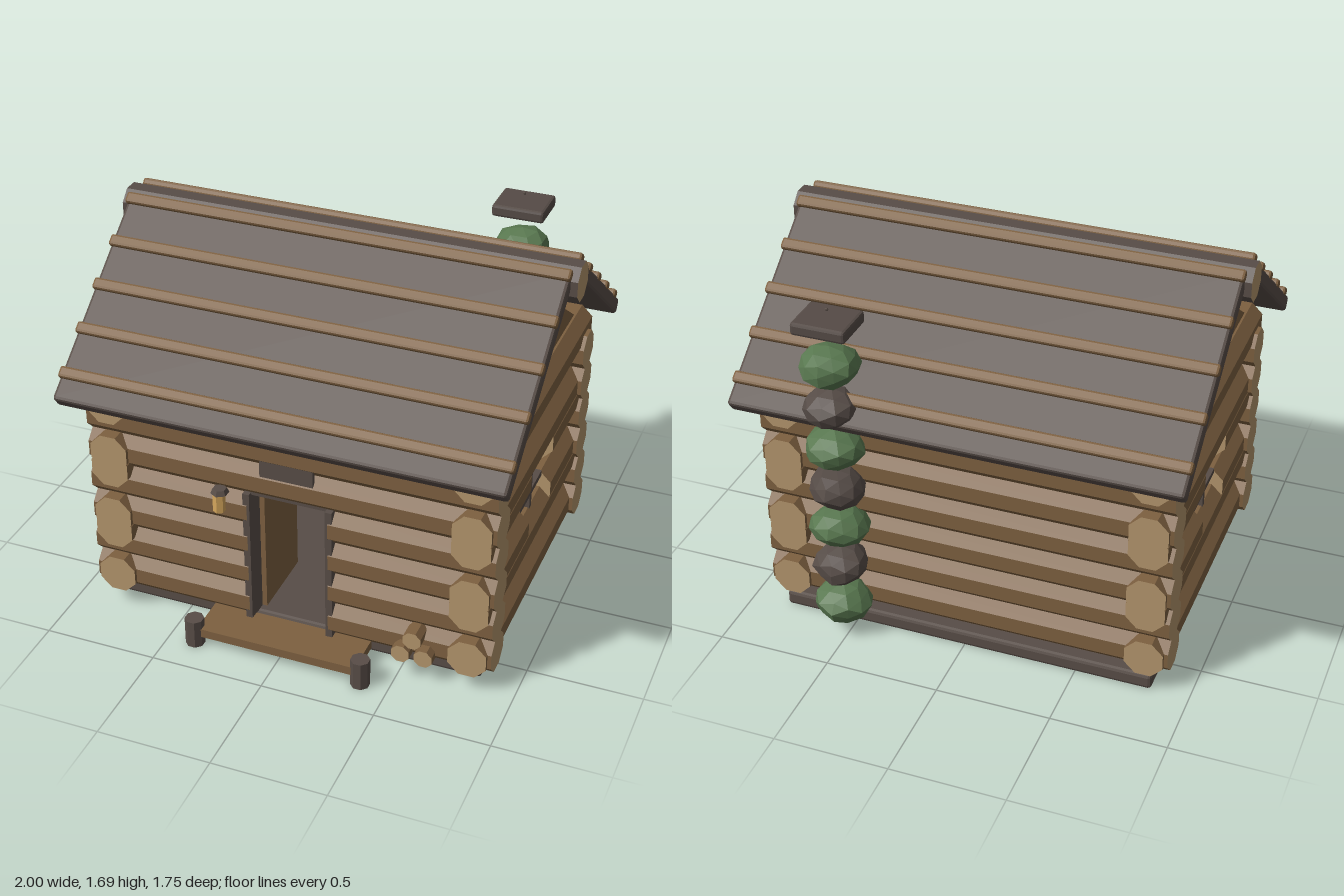
import * as THREE from 'three';
import { RoundedBoxGeometry } from 'three/addons/geometries/RoundedBoxGeometry.js';

const paint = (name, color) => {
  const m = new THREE.MeshStandardMaterial({ color });
  m.name = name;
  return m;
};

const Z0 = 0.01; // depth centre of the walls and roof
const ROW = (i) => 0.165 + 0.156 * i;

function facet(geo) {
  const g = geo.index ? geo.toNonIndexed() : geo;
  g.computeVertexNormals();
  return g;
}

// Small repeatable noise
function seeded(seed) {
  let s = seed;
  return () => (s = (s * 16807) % 2147483647) / 2147483647;
}

export function createModel() {
  const wood = paint('brown wood', 0x7d6040);
  const cut = paint('cut log end', 0xb3956c);
  const dark = paint('dark weathered board', 0x584d47);
  const stone = paint('grey stone', 0x554b46);
  const moss = paint('mossy stone', 0x58774f);
  const glow = paint('lit glass', 0xd4a65c);

  const model = new THREE.Group();
  model.name = 'logCabin';
  const group = (name, parent = model) => {
    const g = new THREE.Group();
    g.name = name;
    parent.add(g);
    return g;
  };
  const add = (parent, name, geo, mat, x = 0, y = 0, z = 0) => {
    const m = new THREE.Mesh(geo, mat);
    m.name = name;
    m.position.set(x, y, z);
    parent.add(m);
    return m;
  };
  const box = (parent, name, mat, w, h, d, x, y, z, bevel = 0) =>
    add(parent, name, bevel ? facet(new RoundedBoxGeometry(w, h, d, 1, bevel)) : new THREE.BoxGeometry(w, h, d), mat, x, y, z);

  // Eight-sided log between two positions on one axis
  const log = (parent, name, axis, from, to, a, y, r = 0.09, bark = wood) => {
    const g = new THREE.CylinderGeometry(r, r, to - from, 8).rotateY(Math.PI / 8);
    if (axis === 'x') g.rotateZ(Math.PI / 2);
    if (axis === 'z') g.rotateX(Math.PI / 2);
    const mid = (from + to) / 2;
    return add(parent, name, facet(g), [bark, cut, cut], axis === 'x' ? mid : a, y, axis === 'x' ? a : mid);
  };

  // Floor slab
  box(model, 'foundation', dark, 1.67, 0.07, 1.31, 0, 0.035, -0.035, 0.015);

  // Log walls; the doorway and windows split the logs they cross
  const walls = group('walls');
  for (let i = 0; i < 6; i++) {
    const y = ROW(i);
    log(walls, 'backLog', 'x', -0.9, 0.9, Z0 - 0.61, y);
    if (i < 4) {
      log(walls, 'frontLogRight', 'x', -0.9, -0.18, Z0 + 0.61, y);
      log(walls, 'frontLogLeft', 'x', 0.18, 0.9, Z0 + 0.61, y);
    } else log(walls, 'frontLog', 'x', -0.9, 0.9, Z0 + 0.61, y);

    const sideY = y + (i % 2) * 0.078;
    for (const s of [-1, 1]) {
      if (i === 2 || i === 3) {
        log(walls, 'sideLogBack', 'z', Z0 - 0.71, Z0 - 0.16, s * 0.8, sideY);
        log(walls, 'sideLogFront', 'z', Z0 + 0.16, Z0 + 0.71, s * 0.8, sideY);
      } else log(walls, 'sideLog', 'z', Z0 - 0.71, Z0 + 0.71, s * 0.8, sideY);
    }
  }

  // Gables and windows on both sides
  const tri = new THREE.Shape([[-0.72, 1.03], [0.72, 1.03], [0, 1.52]].map((p) => new THREE.Vector2(...p)));
  const gableGeo = new THREE.ExtrudeGeometry(tri, { depth: 0.05, bevelEnabled: false })
    .translate(0, 0, -0.025).rotateY(Math.PI / 2);
  for (const s of [-1, 1]) {
    add(model, 'gable', gableGeo, wood, s * 0.8, 0, Z0);
    const win = group('window');
    box(win, 'windowGlass', glow, 0.01, 0.22, 0.29, s * 0.8, 0.59, Z0);
    box(win, 'windowUpright', dark, 0.04, 0.26, 0.027, s * 0.82, 0.59, Z0);
    box(win, 'windowCrossbar', dark, 0.04, 0.027, 0.32, s * 0.82, 0.555, Z0);
    box(win, 'windowHead', dark, 0.05, 0.02, 0.32, s * 0.82, 0.72, Z0);
  }

  // Two roof slopes with battens, and the ridge log
  const slope = 0.639;
  for (const turn of [0, Math.PI]) {
    const side = group('roofSide');
    side.position.set(0, 1.72, Z0);
    side.rotation.y = turn;
    const pitch = group('roofPitch', side);
    pitch.rotation.x = slope;
    box(pitch, 'roofPanel', dark, 1.94, 0.07, 0.97, 0, -0.035, 0.56, 0.014);
    for (let i = 0; i < 5; i++)
      box(pitch, 'roofBatten', wood, 1.95, 0.036, 0.05, 0, 0.004, 0.1 + i * 0.2065, 0.011);
  }
  log(model, 'ridgeLog', 'x', -1, 1, Z0, 1.603, 0.085, dark);

  // Doorway with the door swung inward
  const doorway = group('doorway');
  for (const s of [-1, 1]) box(doorway, 'doorPost', dark, 0.03, 0.64, 0.15, s * 0.183, 0.405, 0.625);
  box(doorway, 'door', wood, 0.022, 0.62, 0.34, -0.155, 0.4, 0.43);
  box(doorway, 'doorHead', dark, 0.39, 0.02, 0.1, 0, 0.722, 0.625);

  // Plain board over the door
  box(model, 'doorBoard', dark, 0.235, 0.17, 0.02, 0, 0.915, 0.69);

  // Lantern beside the door
  const lantern = group('lantern');
  add(lantern, 'lanternGlass', facet(new THREE.CylinderGeometry(0.027, 0.027, 0.085, 6)), glow, -0.297, 0.67, 0.715);
  add(lantern, 'lanternCap', facet(new THREE.CylinderGeometry(0.03, 0.04, 0.022, 6)), dark, -0.297, 0.722, 0.705);

  // Porch step between two short posts
  box(model, 'porchStep', wood, 0.72, 0.04, 0.195, 0, 0.07, 0.757);
  for (const s of [-1, 1])
    add(model, 'porchPost', facet(new THREE.CylinderGeometry(0.042, 0.042, 0.13, 8).rotateY(Math.PI / 8)), dark, s * 0.378, 0.065, 0.836);

  // Firewood stack and an inside stool
  for (const [x, y] of [[0.52, 0.135], [0.62, 0.135], [0.57, 0.215]])
    log(model, 'firewood', 'z', 0.55, 0.75, x, y, 0.042, wood);
  add(model, 'stool', facet(new THREE.CylinderGeometry(0.085, 0.085, 0.195, 8)), wood, 0.45, 0.167, -0.285);

  // Chimney of stacked rough stones, alternating mossy and bare
  const chimney = group('chimney');
  chimney.position.set(0.53, 0, -0.745);
  for (let i = 0; i < 7; i++) {
    const mossy = i % 2 === 0;
    const rand = seeded(911 + i * 37);
    const g = new THREE.IcosahedronGeometry(1, 1);
    const p = g.attributes.position;
    const bumps = new Map();
    for (let k = 0; k < p.count; k++) {
      const key = [p.getX(k), p.getY(k), p.getZ(k)].map((v) => Math.round(v * 100)).join();
      if (!bumps.has(key)) bumps.set(key, 0.9 + 0.15 * rand());
      const b = bumps.get(key);
      p.setXYZ(k, p.getX(k) * b, p.getY(k) * b, p.getZ(k) * b);
    }
    const r = mossy ? 0.132 : 0.122;
    g.scale(r, 0.09, mossy ? 0.126 : r);
    add(chimney, mossy ? 'mossyStone' : 'bareStone', facet(g), mossy ? moss : stone, 0, 0.15 + i * 0.196, 0);
  }
  box(chimney, 'chimneyCap', stone, 0.235, 0.055, 0.2, 0, 1.517, 0, 0.012);
  add(chimney, 'smokeSpeck', new THREE.IcosahedronGeometry(0.008, 0), dark, 0, 1.573 + 0.003, 0);

  return model;
}
